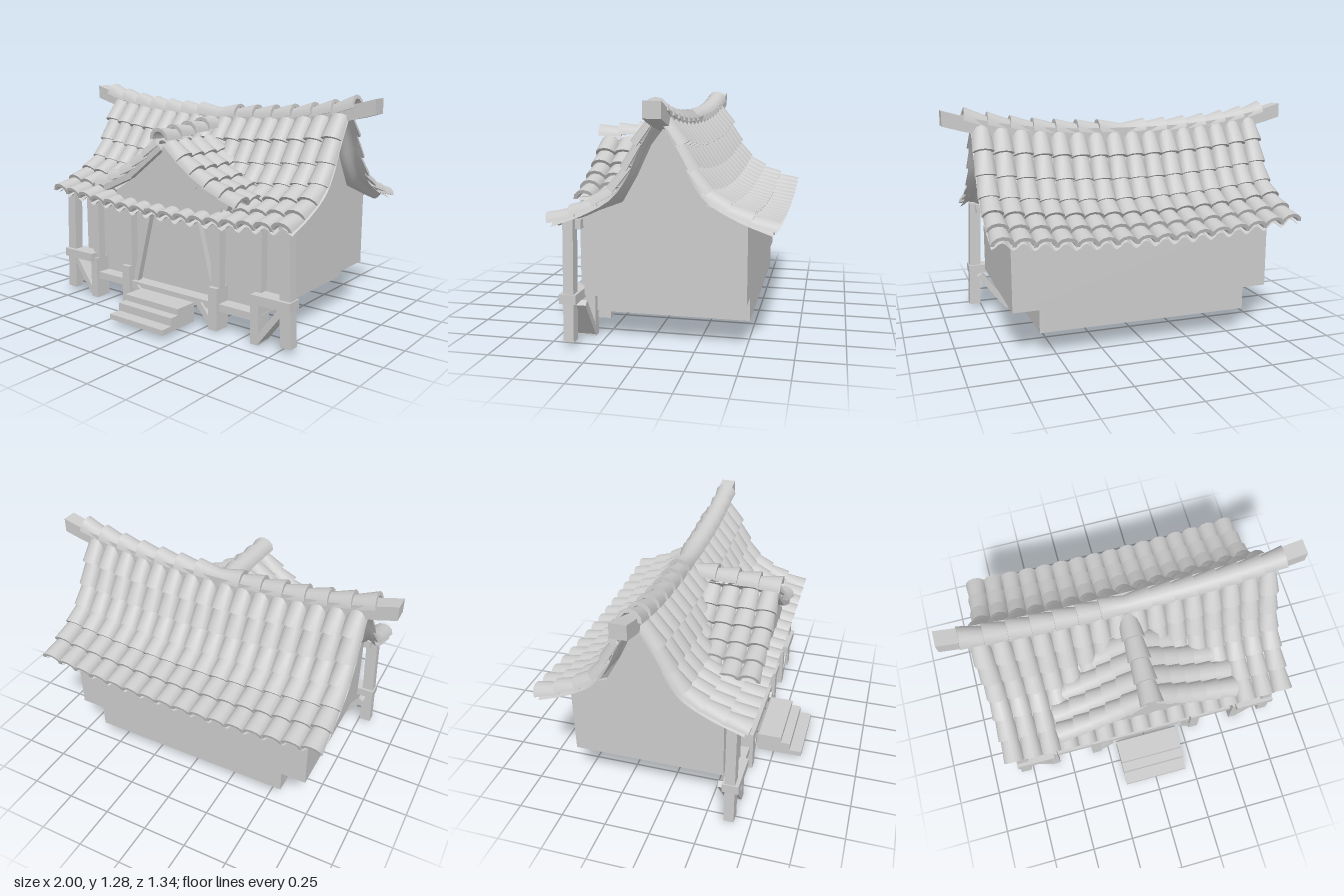
import * as THREE from 'three';
import { mergeGeometries, toCreasedNormals } from 'three/addons/utils/BufferGeometryUtils.js';

const V = (x, y, z) => new THREE.Vector3(x, y, z);
const material = new THREE.MeshStandardMaterial({ color: 0xcccccc, side: THREE.DoubleSide });
const RIDGE_Z = -0.09, PITCH = 0.106, COLS = 16;

// Half-barrel tile running from a (upper end) to b (lower end), with its width along side
function tile(a, b, side, halfWidth, height) {
  const t = b.clone().sub(a).normalize();
  const s = side.clone();
  let n = t.clone().cross(s).normalize();
  if (n.y < 0) { s.negate(); n.negate(); }
  const N = 6, thick = 0.02, pos = [];
  const ring = (c, k) => {
    const pts = [];
    for (let i = 0; i <= 2 * N + 1; i++) {
      const inner = i > N, ang = (Math.PI * (inner ? 2 * N + 1 - i : i)) / N;
      const off = inner ? thick : 0;
      pts.push(c.clone()
        .addScaledVector(s, Math.cos(ang) * (halfWidth * k - off))
        .addScaledVector(n, Math.sin(ang) * (height * k - off)));
    }
    return pts;
  };
  const A = ring(a, 0.9), B = ring(b.clone().addScaledVector(n, 0.014), 1.12);
  const quad = (p, q, r, u) => [p, q, r, p, r, u].forEach(v => pos.push(v.x, v.y, v.z));
  const M = A.length;
  for (let i = 0; i < M; i++) {
    const j = (i + 1) % M;
    quad(A[i], A[j], B[j], B[i]);
  }
  for (let i = 0; i < N; i++) {
    const o = M - 1 - i;
    quad(B[i], B[i + 1], B[o - 1], B[o]);
    quad(A[i], A[o], A[o - 1], A[i + 1]);
  }
  const g = new THREE.BufferGeometry();
  g.setAttribute('position', new THREE.Float32BufferAttribute(pos, 3));
  return g;
}

// Tiles laid end to end along a list of points, each slightly overlapping the next
function tileRun(points, side, halfWidth, height, keep = () => true) {
  const out = [];
  for (let i = 0; i < points.length - 1; i++) {
    if (!keep(points[i])) continue;
    const b = points[i + 1].clone().lerp(points[i], -0.1);
    out.push(tile(points[i], b, side, halfWidth, height));
  }
  return out;
}

// Surface from a rule of (u, v) in 0..1
function sheet(rule, nu, nv) {
  const g = new THREE.PlaneGeometry(1, 1, nu, nv), p = g.attributes.position;
  for (let i = 0; i < p.count; i++) {
    const v = rule(p.getX(i) + 0.5, 0.5 - p.getY(i));
    p.setXYZ(i, v.x, v.y, v.z);
  }
  g.computeVertexNormals();
  return g;
}

// Plate with the given outline
const plate = (points, depth) => new THREE.ExtrudeGeometry(
  new THREE.Shape(points.map(p => new THREE.Vector2(...p))), { depth, bevelEnabled: false });

// Swept main roof profile: distance from the ridge and height at the gable ends
const roofCurve = new THREE.CatmullRomCurve3([
  V(0.02, 1.17, 0), V(0.095, 1.035, 0), V(0.155, 0.905, 0),
  V(0.235, 0.80, 0), V(0.38, 0.715, 0), V(0.55, 0.65, 0)]);
const roofSag = (x, d) => (0.07 - 0.025 * d) * (1 - (x / 0.85) ** 2);
const roofPoint = (u, x, dir) => {
  const p = roofCurve.getPointAt(u);
  return V(x, p.y - roofSag(x, p.x), RIDGE_Z + dir * p.x);
};
const roofSamples = roofCurve.getSpacedPoints(60);
const roofHeight = (x, z) => {
  const d = Math.abs(z - RIDGE_Z);
  const p = roofSamples.find(q => q.x >= d) || roofSamples[60];
  return p.y - roofSag(x, d);
};

export function createModel() {
  const model = new THREE.Group();
  const add = (name, geo) => {
    const m = new THREE.Mesh(geo, material);
    m.name = name;
    model.add(m);
    return m;
  };
  const addTiles = (name, list) => add(name, toCreasedNormals(mergeGeometries(list), 0.7));
  // Box given by its limits
  const box = (name, x0, x1, y0, y1, z0, z1) =>
    add(name, new THREE.BoxGeometry(Math.abs(x1 - x0), y1 - y0, z1 - z0))
      .position.set((x0 + x1) / 2, (y0 + y1) / 2, (z0 + z1) / 2);
  // Square timber between two points
  const bar = (name, a, b, w, d) => {
    const m = add(name, new THREE.BoxGeometry(w, a.distanceTo(b), d));
    m.position.copy(a).lerp(b, 0.5);
    m.quaternion.setFromUnitVectors(V(0, 1, 0), b.clone().sub(a).normalize());
  };

  // Main roof: a wavy underlay and columns of barrel tiles on each slope
  for (const dir of [1, -1]) {
    const label = dir > 0 ? 'front' : 'back';
    add(label + 'RoofUnderlay', sheet((u, v) => {
      const x = (u - 0.5) * COLS * PITCH, p = roofPoint(v, x, dir);
      p.y -= 0.018 * Math.cos((2 * Math.PI * x) / PITCH);
      return p;
    }, COLS * 6, 14));
    const tiles = [];
    for (let c = 0; c < COLS; c++) {
      const x = (c - (COLS - 1) / 2) * PITCH, pts = [];
      for (let r = 0; r <= 6; r++) pts.push(roofPoint(r / 6, x, dir));
      tiles.push(...tileRun(pts, V(1, 0, 0), 0.054, 0.045));
    }
    addTiles(label + 'RoofTiles', tiles);
  }

  // Upswept ridge beam with cap tiles
  const ridgeY = x => 1.105 + 0.115 * Math.abs(x) ** 2.6;
  const beam = new THREE.BoxGeometry(2, 0.08, 0.088, 20, 1, 1), bp = beam.attributes.position;
  for (let i = 0; i < bp.count; i++) bp.setY(i, bp.getY(i) + ridgeY(bp.getX(i)));
  beam.translate(0, 0, RIDGE_Z - 0.01);
  add('ridgeBeam', toCreasedNormals(beam, 0.6));
  const caps = [];
  for (const s of [1, -1]) {
    const pts = [];
    for (let i = 0; i <= 7; i++) {
      const x = (s * i * 0.88) / 7;
      pts.push(V(x, ridgeY(x) + 0.008, RIDGE_Z));
    }
    caps.push(...tileRun(pts, V(0, 0, 1), 0.058, 0.058));
  }
  addTiles('ridgeCaps', caps);

  // Dormer roof over the entrance
  const dormerCurve = new THREE.CatmullRomCurve3([
    V(0.02, 0.995, 0), V(0.10, 0.92, 0), V(0.27, 0.805, 0), V(0.49, 0.71, 0)]);
  const dormerTiles = [];
  for (const s of [1, -1]) {
    const at = (u, z) => { const p = dormerCurve.getPointAt(u); return V(s * p.x, p.y, z); };
    add('dormerUnderlay', sheet((u, v) => at(v, 0.02 + 0.42 * u), 4, 10));
    [0.4, 0.29, 0.18, 0.07, -0.02].forEach((z, i) => {
      const pts = [0, 0.2, 0.4, 0.6, 0.8, 1].map(u => at(u, z));
      dormerTiles.push(...tileRun(pts, V(0, 0, 1), 0.056, i ? 0.044 : 0.052,
        a => a.y + 0.03 > roofHeight(a.x, z)));
    });
    bar('dormerVergeBoard', V(s * 0.01, 0.985, 0.42), V(s * 0.25, 0.80, 0.42), 0.035, 0.05);
    bar('dormerVergeBoard', V(s * 0.25, 0.80, 0.42), V(s * 0.45, 0.71, 0.42), 0.035, 0.05);
  }
  addTiles('dormerTiles', dormerTiles);
  const dormerRidge = [];
  for (let i = 0; i <= 4; i++) dormerRidge.push(V(0, 1.055 - 0.01 * i, -0.04 + 0.122 * i));
  addTiles('dormerRidgeCaps', tileRun(dormerRidge, V(1, 0, 0), 0.058, 0.058));
  const gableHalf = [[0.38, 0.62], [0.38, 0.70], [0.24, 0.79], [0.10, 0.90]];
  const gable = [...gableHalf, [0, 0.97], ...gableHalf.map(([x, y]) => [-x, y]).reverse()];
  add('dormerGable', plate(gable, 0.02)).position.z = 0.39;

  // Hollow body: gable walls, front and back walls on a narrower base, open underneath
  const half = [[0.42, 0.255], [0.42, 0.67], [0.21, 0.75], [0.13, 0.89], [0.06, 1.04], [0, 1.12]];
  const outline = [...half, ...half.slice(0, -1).reverse().map(([d, y]) => [-d, y])];
  for (const s of [1, -1]) {
    add('gableWall', plate(outline, 0.02).rotateY(-Math.PI / 2))
      .position.set(s > 0 ? 0.73 : -0.71, 0, RIDGE_Z);
    box('baseSide', s * 0.57, s * 0.59, 0.13, 0.255, -0.51, 0.31);
    box('baseLedge', s * 0.57, s * 0.73, 0.255, 0.265, -0.51, 0.33);
  }
  box('backWall', -0.73, 0.73, 0.255, 0.67, -0.51, -0.49);
  box('baseBack', -0.59, 0.59, 0.13, 0.255, -0.51, -0.49);
  box('frontWall', -0.73, 0.73, 0.255, 0.65, 0.31, 0.33);
  box('baseFront', -0.59, 0.59, 0.13, 0.255, 0.29, 0.31);

  // Porch timbers, mirrored left and right
  for (const s of [1, -1]) {
    bar('cornerPost', V(s * 0.795, 0.03, 0.387), V(s * 0.77, 0.665, 0.387), 0.065, 0.055);
    bar('outerPost', V(s * 0.598, 0.25, 0.36), V(s * 0.598, 0.64, 0.36), 0.05, 0.05);
    bar('innerPost', V(s * 0.325, 0.25, 0.36), V(s * 0.325, 0.64, 0.36), 0.058, 0.05);
    box('outerPostFoot', s * 0.573, s * 0.623, 0, 0.25, 0.31, 0.41);
    box('innerPostFoot', s * 0.296, s * 0.354, 0.01, 0.25, 0.31, 0.41);
    bar('cornerBrace', V(s * 0.61, 0.02, 0.36), V(s * 0.765, 0.225, 0.36), 0.035, 0.1);
    bar('footBrace', V(s * 0.325, 0.02, 0.36), V(s * 0.225, 0.135, 0.36), 0.035, 0.09);
    bar('doorBrace', V(s * 0.29, 0.15, 0.35), V(s * 0.165, 0.62, 0.35), 0.035, 0.035);
    box('cornerRail', s * 0.59, s * 0.825, 0.23, 0.28, 0.345, 0.435);
  }
  box('sillBeam', -0.625, 0.625, 0.118, 0.16, 0.31, 0.39);
  box('topBeam', -0.77, 0.77, 0.61, 0.66, 0.33, 0.37);

  // Entrance steps: a stepped shell between two cheek plates, hollow underneath
  const treads = [[0.41, 0.14], [0.545, 0.14], [0.545, 0.105], [0.60, 0.105], [0.60, 0.06],
    [0.67, 0.06], [0.67, 0.03]].map(([z, y]) => [-z, y]);
  const inside = treads.map(([z, y], i) => [z + 0.01, i < 6 ? y - 0.01 : y]).reverse();
  const stepPart = (name, points, x, width) =>
    add(name, plate(points, width).rotateY(Math.PI / 2)).position.x = x;
  stepPart('stepTreads', [...treads, ...inside], -0.195, 0.39);
  for (const x of [-0.195, 0.185]) stepPart('stepCheek', [...treads, [-0.41, 0.03]], x, 0.01);

  return model;
}
